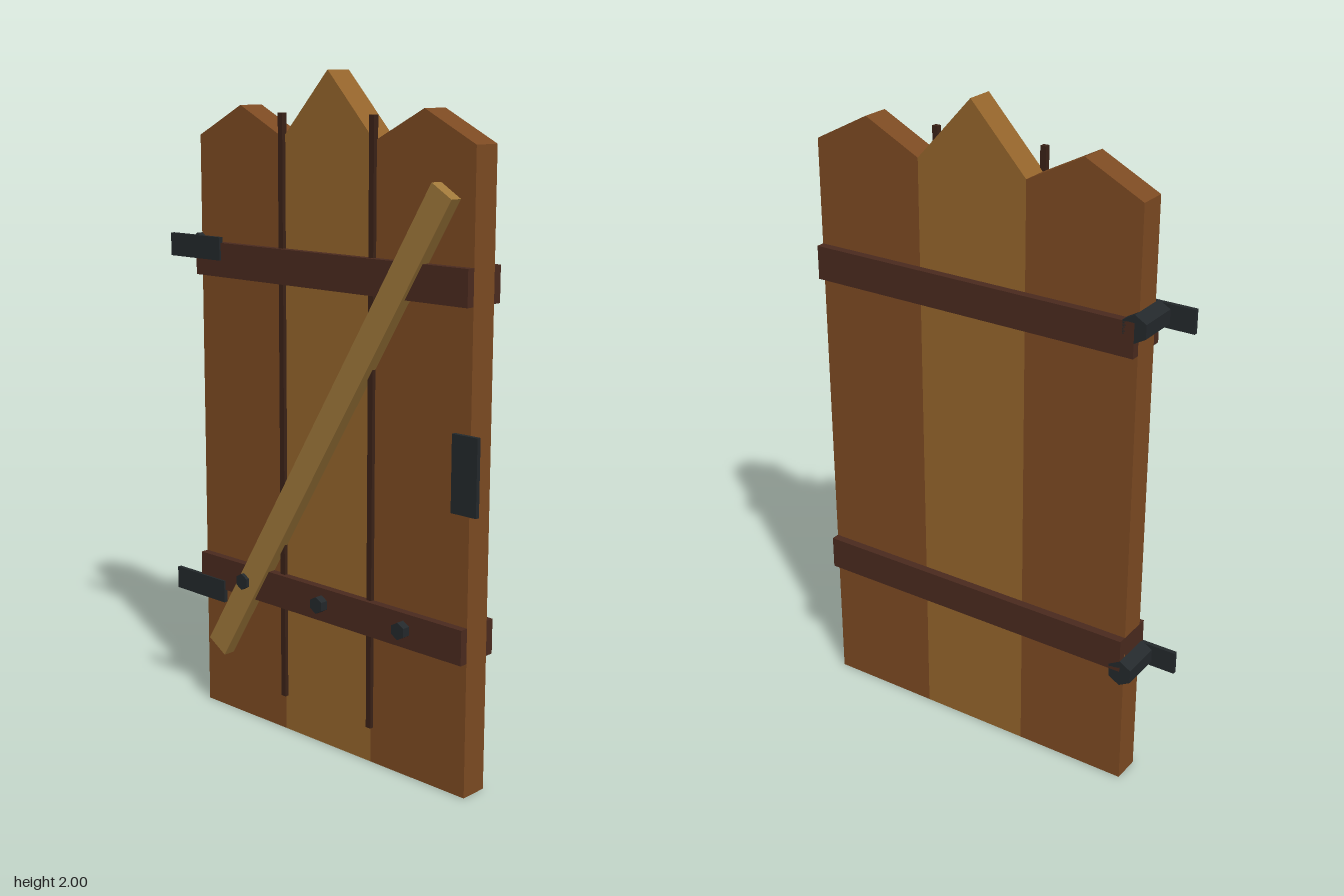
import * as THREE from 'three';

const mat = (color) => new THREE.MeshStandardMaterial({ color, flatShading: true });

export function createModel() {
  const group = new THREE.Group();
  const sideWood = mat(0x7c4a22);
  const midWood = mat(0x94642b);
  const battenWood = mat(0x4a2a1e);
  const braceWood = mat(0xa0783a);
  const gapWood = mat(0x3a2217);
  const iron = mat(0x23282b);

  const add = (name, geometry, material) => {
    const mesh = new THREE.Mesh(geometry, material);
    mesh.name = name;
    group.add(mesh);
    return mesh;
  };
  // Box given by its lower and upper limits on each axis
  const box = (name, material, [x0, x1], [y0, y1], [z0, z1]) =>
    add(name, new THREE.BoxGeometry(x1 - x0, y1 - y0, z1 - z0), material)
      .position.set((x0 + x1) / 2, (y0 + y1) / 2, (z0 + z1) / 2);
  // Six-sided rod lying along z, with a corner at the top
  const hexRod = (name, x, y, r, z0, z1) =>
    add(name, new THREE.CylinderGeometry(r, r, z1 - z0, 6).rotateX(Math.PI / 2), iron)
      .position.set(x, y, (z0 + z1) / 2);

  // Three pointed planks
  const plank = (name, x0, x1, peak, material) => {
    const shape = new THREE.Shape([
      new THREE.Vector2(x0, 0), new THREE.Vector2(x1, 0), new THREE.Vector2(x1, 1.81),
      new THREE.Vector2((x0 + x1) / 2, peak), new THREE.Vector2(x0, 1.81),
    ]);
    const geometry = new THREE.ExtrudeGeometry(shape, { depth: 0.087, bevelEnabled: false });
    add(name, geometry.translate(0, 0, -0.057), material);
  };
  plank('rightPlank', -0.5, -0.146, 1.9, sideWood);
  plank('middlePlank', -0.146, 0.207, 2, midWood);
  plank('leftPlank', 0.207, 0.56, 1.9, sideWood);

  // Thin dark strips over the plank joints
  for (const x of [-0.146, 0.207]) {
    box('jointStrip', gapWood, [x - 0.009, x + 0.009], [0.11, 1.88], [0.025, 0.042]);
  }

  // Cross battens running through the planks to both faces
  for (const y of [0.4, 1.39]) {
    box('batten', battenWood, [-0.5, 0.56], [y, y + 0.103], [-0.083, 0.055]);
  }

  // Diagonal brace
  const brace = add('brace', new THREE.BoxGeometry(0.08, 1.73, 0.04), braceWood);
  brace.position.set(0.03, 0.95, 0.049);
  brace.rotation.z = -Math.atan2(0.895, 1.48);

  // Bolts on the lower batten
  for (const x of [-0.29, 0.03, 0.35]) hexRod('bolt', x, 0.455, 0.026, 0.05, 0.08);

  // Hinges: a pin through the edge and a flat plate in front
  for (const y of [0.395, 1.475]) {
    hexRod('hingePin', -0.5, y, 0.041, -0.083, 0.05);
    box('hingePlate', iron, [-0.61, -0.39], [y - 0.035, y + 0.035], [0.048, 0.061]);
  }

  // Latch plate
  box('latch', iron, [0.52, 0.607], [0.83, 1.05], [0.048, 0.061]);

  return group;
}
